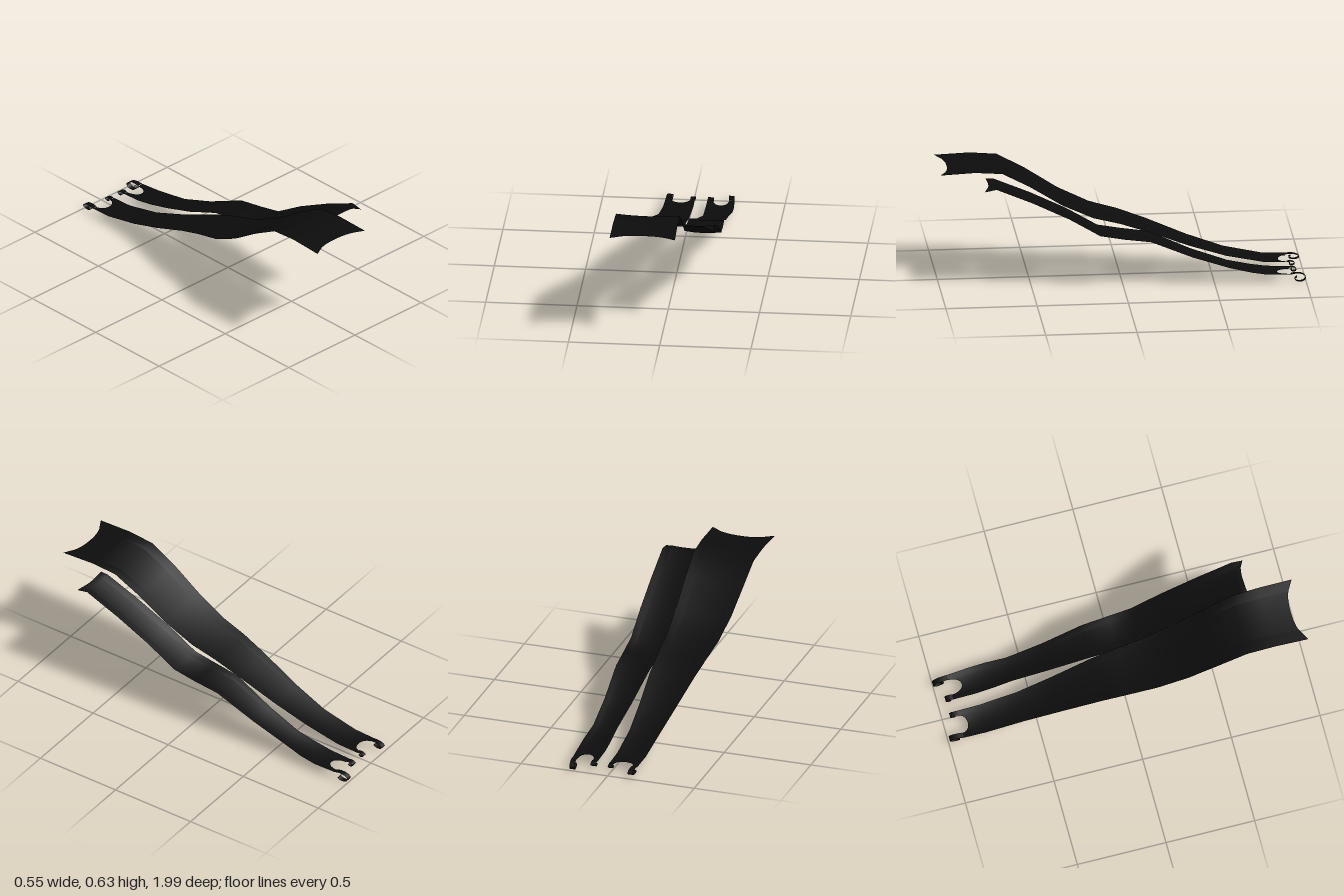
import * as THREE from 'three';

const cloth = new THREE.MeshStandardMaterial({ color: 0x0c0c0c, side: THREE.DoubleSide });
cloth.name = 'black cloth';

// Surface through rows of points that all have the same length
function skin(rows, name) {
  const n = rows[0].length;
  const index = [];
  for (let i = 0; i < rows.length - 1; i++) {
    for (let j = 0; j < n - 1; j++) {
      const a = i * n + j, b = a + n;
      index.push(a, a + 1, b, a + 1, b + 1, b);
    }
  }
  const geo = new THREE.BufferGeometry();
  geo.setAttribute('position', new THREE.Float32BufferAttribute(rows.flat(2), 3));
  geo.setIndex(index);
  geo.computeVertexNormals();
  const mesh = new THREE.Mesh(geo, cloth);
  mesh.name = name;
  return mesh;
}

// Linear lookup in stations of [z, value...] sorted from front to back
function sample(stations, z, k) {
  for (let i = 0; i < stations.length - 1; i++) {
    const a = stations[i], b = stations[i + 1];
    if (z >= b[0] || i === stations.length - 2) {
      const t = THREE.MathUtils.clamp((a[0] - z) / (a[0] - b[0]), 0, 1);
      return a[k] + (b[k] - a[k]) * t;
    }
  }
}

const WING_Z = -0.915; // where the sheet ends and the curled tabs begin

function strip(name, p) {
  const group = new THREE.Group();
  group.name = name;
  const left = sample(p.height ? p.edges : [], WING_Z, 1);
  const right = sample(p.edges, WING_Z, 2);

  // Columns at the back edge: two tabs with a round notch between them
  const back = [[left, WING_Z]];
  const notch = 14;
  for (let i = 0; i <= notch; i++) {
    const a = Math.PI * (i / notch);
    back.push([p.notchX - Math.cos(a) * p.notchR, WING_Z + (p.notchZ - WING_Z) * Math.sin(a)]);
  }
  back.push([right, WING_Z]);
  const us = back.map(([x]) => (x - left) / (right - left));

  // Sheet rows from front to back, first and last following shaped ends
  const zs = p.height.map((s) => s[0]);
  const rows = zs.map((z0, i) => us.map((u, j) => {
    const side = Math.pow(Math.abs(2 * u - 1), 2);
    let z = z0;
    if (i === 0) z = p.frontZ(u);
    if (i === zs.length - 1) z = back[j][1];
    const l = sample(p.edges, z, 1), r = sample(p.edges, z, 2);
    const lift = i === 0 ? p.frontLift(u) : 0.008 * (side - 0.5);
    return [l + (r - l) * u, sample(p.height, z, 1) + lift, z];
  }));
  group.add(skin(rows, name + 'Sheet'));

  // Curled tabs at the back corners
  const curl = [[0, 1], [0.4, 1.1], [0.8, 0.92], [1, 0.5], [0.85, 0.08], [0.5, 0], [0.27, 0.3], [0.42, 0.65]];
  const tabs = [
    [left, p.notchX - p.notchR, ...p.tabs[0]],
    [p.notchX + p.notchR, right, ...p.tabs[1]],
  ];
  tabs.forEach(([x0, x1, endZ, low, shift], i) => {
    const top = sample(p.height, WING_Z, 1) + 0.004;
    const path = new THREE.CatmullRomCurve3(curl.map(([s, h]) =>
      new THREE.Vector3(shift * s, low + (top - low) * h, WING_Z + (endZ - WING_Z) * s)));
    const tabRows = path.getPoints(24).map((v) => [[x0 + v.x, v.y, v.z], [x1 + v.x, v.y, v.z]]);
    group.add(skin(tabRows, name + (i ? 'LeftTab' : 'RightTab')));
  });
  return group;
}

export function createModel() {
  const model = new THREE.Group();
  model.name = 'pairOfStrips';

  // Long strip on the right: height is [z, y], edges is [z, right x, left x]
  model.add(strip('longStrip', {
    height: [[0.97, 0.618], [0.8, 0.628], [0.65, 0.616], [0.5, 0.535], [0.32, 0.42], [0.15, 0.34], [0, 0.3],
      [-0.15, 0.248], [-0.38, 0.155], [-0.58, 0.087], [-0.79, 0.043], [-0.93, 0.038]],
    edges: [[1, -0.275, 0.083], [0.65, -0.272, 0.076], [0.5, -0.268, 0.07], [0.32, -0.256, 0.064],
      [0.15, -0.24, 0.058], [0, -0.225, 0.053], [-0.15, -0.205, 0.048], [-0.4, -0.172, 0.03],
      [-0.6, -0.152, 0.017], [-0.93, -0.146, 0.014]],
    frontZ: (u) => 0.94 + 0.052 * Math.pow(Math.abs(2 * u - 1), 2.5),
    frontLift: (u) => 0.006 * Math.pow(2 * u - 1, 2),
    notchX: -0.064, notchR: 0.052, notchZ: -0.872,
    tabs: [[-0.993, 0.015, 0.004], [-0.957, 0.024, 0]],
  }));

  // Short strip on the left, slightly lower at the front
  model.add(strip('shortStrip', {
    height: [[0.75, 0.6], [0.7, 0.592], [0.5, 0.505], [0.3, 0.405], [0.13, 0.302], [0, 0.277],
      [-0.15, 0.255], [-0.38, 0.155], [-0.58, 0.087], [-0.7, 0.06], [-0.79, 0.045], [-0.93, 0.038]],
    edges: [[0.76, 0.078, 0.272], [0.4, 0.064, 0.263], [0, 0.051, 0.252], [-0.12, 0.05, 0.247],
      [-0.25, 0.06, 0.241], [-0.4, 0.076, 0.232], [-0.55, 0.09, 0.225], [-0.7, 0.085, 0.238],
      [-0.8, 0.083, 0.238], [-0.93, 0.083, 0.228]],
    frontZ: (u) => 0.735 + 0.03 * Math.pow(u, 5) + 0.008 * Math.pow(1 - u, 2),
    frontLift: (u) => -0.016 * Math.pow(u, 8),
    notchX: 0.157, notchR: 0.043, notchZ: -0.847,
    tabs: [[-0.957, 0.021, 0], [-1, 0, -0.008]],
  }));

  return model;
}
